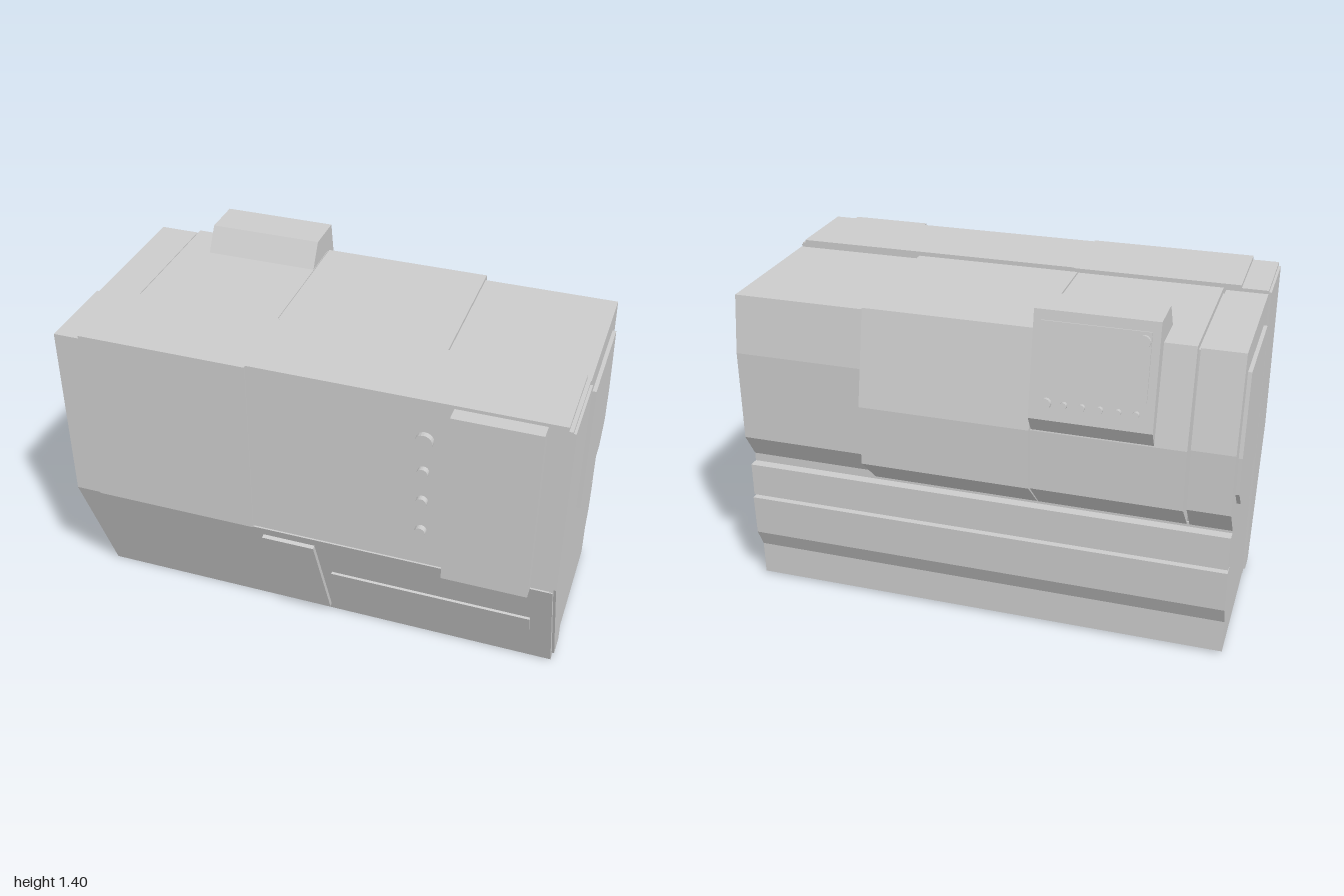
import * as THREE from 'three';

const mat = new THREE.MeshStandardMaterial({ color: 0xcccccc, flatShading: true });

export function createModel() {
  const model = new THREE.Group();

  const add = (name, geometry, parent = model) => {
    const mesh = new THREE.Mesh(geometry, mat);
    mesh.name = name;
    parent.add(mesh);
    return mesh;
  };

  // Side profile of [z, y] points, swept along x from x0 to x1
  const sweep = (name, x0, x1, points, parent) => {
    const shape = new THREE.Shape(points.map(([z, y]) => new THREE.Vector2(-z, y)));
    const geo = new THREE.ExtrudeGeometry(shape, { depth: x1 - x0, bevelEnabled: false });
    geo.rotateY(Math.PI / 2).translate(x0, 0, 0);
    return add(name, geo, parent);
  };

  // Box given by its limits
  const box = (name, x0, x1, y0, y1, z0, z1, parent) => {
    const geo = new THREE.BoxGeometry(x1 - x0, y1 - y0, z1 - z0);
    geo.translate((x0 + x1) / 2, (y0 + y1) / 2, (z0 + z1) / 2);
    return add(name, geo, parent);
  };

  // Round button whose axis is local z
  const button = (name, r, depth, x, y, z, parent) => {
    const geo = new THREE.CylinderGeometry(r, r, depth, 20).rotateX(Math.PI / 2);
    add(name, geo, parent).position.set(x, y, z);
  };

  // Inner core that closes the bottoms of the seams
  sweep('core', -0.975, 0.975, [[0.49, 1.28], [-0.41, 1.28], [-0.42, 1.0], [-0.42, 0.66],
    [-0.395, 0.57], [-0.395, 0.02], [0.28, 0.02], [0.49, 0.56]]);

  // Lower housing: sloping front apron, rear base and rear ledges
  sweep('frontApron', -0.985, 0.985, [[0.52, 0.57], [0.185, 0.57], [0.185, 0], [0.29, 0]]);
  sweep('rearBase', -0.985, 0.985, [[0.17, 0.57], [-0.4, 0.57], [-0.4, 0.01], [0.17, 0.01]]);
  box('upperLedge', -0.985, 0.985, 0.41, 0.55, -0.44, -0.39);
  sweep('lowerLedge', -0.985, 0.985, [[-0.39, 0.4], [-0.45, 0.4], [-0.445, 0.23],
    [-0.405, 0.15], [-0.405, 0.01], [-0.39, 0.01]]);

  // Upper front housing with its doors
  box('frontEndColumn', -0.985, -0.88, 0.57, 1.305, 0.175, 0.52);
  box('frontDoor', -0.88, -0.21, 0.57, 1.32, 0.165, 0.525);
  box('frontPanel', -0.21, 0.97, 0.57, 1.32, 0.172, 0.512);
  box('frontCornerTrim', 0.97, 0.985, 0.57, 1.305, 0.18, 0.515);
  box('controlCabinet', 0.57, 0.9, 0.572, 1.307, 0.5, 0.572);
  [[1.15, 0.034], [1.01, 0.022], [0.875, 0.022], [0.735, 0.022]].forEach(([y, r]) =>
    button('frontButton', r, 0.03, 0.47, y, 0.52));

  // Raised plates lying on the sloping apron
  const slopePlate = (name, x0, x1, y0, y1, t) => {
    const slope = (y) => 0.29 + 0.23 * y / 0.57;
    sweep(name, x0, x1, [[slope(y0) - 0.01, y0], [slope(y0) + t, y0 - t * 0.4],
      [slope(y1) + t, y1 - t * 0.4], [slope(y1) - 0.01, y1]]);
  };
  slopePlate('apronDoor', -0.175, 0.04, 0.042, 0.527, 0.016);
  slopePlate('apronStrip', 0.085, 0.9, 0.24, 0.337, 0.01);

  // Upper rear housing, in four sections of differing depth
  const rearSection = (name, x0, x1, top, topZ, bellyZ) =>
    sweep(name, x0, x1, [[0.165, top], [topZ, top], [bellyZ, 0.93], [bellyZ, 0.685],
      [-0.4, 0.56], [0.165, 0.56]]);
  rearSection('rearEndCover', -0.985, -0.822, 1.295, -0.43, -0.508);
  rearSection('rearDoor', -0.812, -0.23, 1.303, -0.437, -0.523);
  rearSection('rearCover', -0.226, 0.45, 1.305, -0.446, -0.528);
  sweep('rearCornerCover', 0.45, 0.985, [[0.165, 1.292], [-0.43, 1.292], [-0.465, 1.06],
    [-0.465, 0.69], [-0.4, 0.585], [-0.4, 0.56], [0.165, 0.56]]);

  // Raised panels on both ends
  for (const [side, x0, x1] of [['left', 0.98, 1], ['right', -1, -0.98]]) {
    sweep(side + 'EndHatch', x0, x1, [[0.085, 1.197], [-0.365, 1.197], [-0.425, 0.88],
      [-0.425, 0.73], [-0.345, 0.648], [0.085, 0.648]]);
    const inset = 0.005 * Math.sign(x0);
    sweep(side + 'EndPlate', x0 - inset, x1 - inset, [[0.505, 1.293], [0.19, 1.293],
      [0.19, 0.025], [0.275, 0.025], [0.505, 0.575]]);
  }

  // Operator console on the rear
  const consoleGroup = new THREE.Group();
  consoleGroup.name = 'console';
  model.add(consoleGroup);
  sweep('consoleBody', -0.692, -0.232, [[-0.265, 1.3], [-0.325, 1.4], [-0.49, 1.4],
    [-0.562, 1.0], [-0.522, 0.935], [-0.4, 0.935]], consoleGroup);

  // Local frame on the console face: x towards the model's right, y up the face, z outwards
  const face = new THREE.Group();
  face.name = 'consoleFace';
  face.position.set(-0.462, 1.2, -0.526);
  face.rotation.set(-Math.atan2(0.072, 0.4), Math.PI, 0, 'YXZ');
  consoleGroup.add(face);
  box('screen', -0.2, 0.2, -0.09, 0.165, -0.01, 0.008, face);
  button('screenKnob', 0.024, 0.03, 0.175, 0.13, 0.01, face);
  for (let i = 0; i < 6; i++) {
    button('consoleButton', i ? 0.013 : 0.02, 0.03, -0.165 + i * 0.066, -0.138, 0.005, face);
  }

  return model;
}
